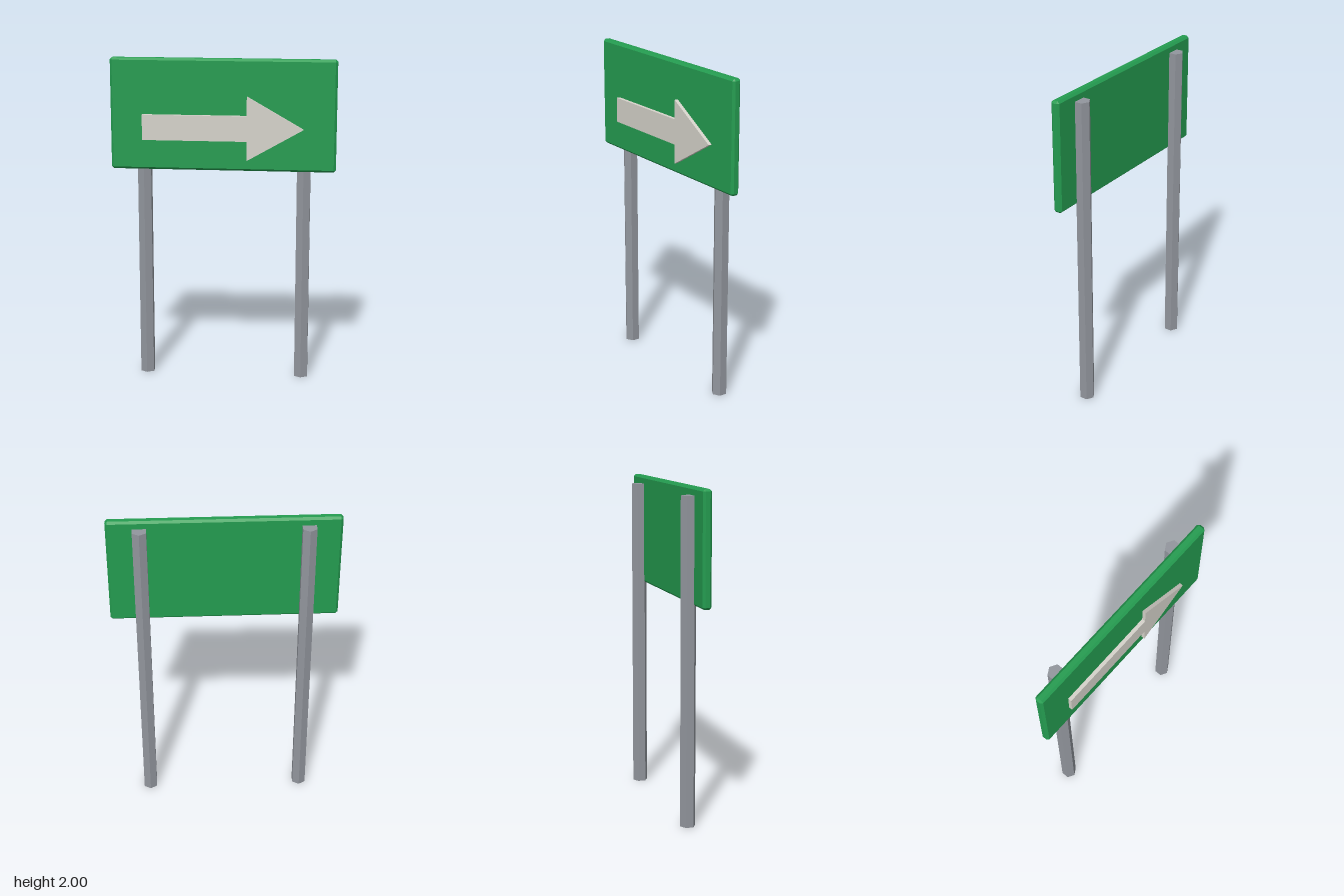
import * as THREE from 'three';
import { ConvexGeometry } from 'three/addons/geometries/ConvexGeometry.js';

// Box with every edge and corner chamfered by c
function chamferedBox(w, h, d, c) {
  const points = [];
  for (const x of [-w / 2, w / 2])
    for (const y of [-h / 2, h / 2])
      for (const z of [-d / 2, d / 2]) {
        const ix = x - Math.sign(x) * c, iy = y - Math.sign(y) * c, iz = z - Math.sign(z) * c;
        points.push(
          new THREE.Vector3(x, iy, iz),
          new THREE.Vector3(ix, y, iz),
          new THREE.Vector3(ix, iy, z));
      }
  return new ConvexGeometry(points);
}

export function createModel() {
  const model = new THREE.Group();
  model.name = 'directionSign';

  const material = (name, color) => {
    const m = new THREE.MeshStandardMaterial({ color });
    m.name = name;
    return m;
  };
  const green = material('signGreen', 0x249c50);
  const white = material('arrowWhite', 0xd5d2ca);
  const steel = material('postGrey', 0x92969d);
  steel.flatShading = true;

  const add = (name, geometry, mat, x, y, z) => {
    const mesh = new THREE.Mesh(geometry, mat);
    mesh.name = name;
    mesh.position.set(x, y, z);
    model.add(mesh);
  };

  // Hexagonal posts, with an edge facing front and back
  const postHeight = 1.953;
  const postGeometry = new THREE.CylinderGeometry(0.047, 0.047, postHeight, 6);
  add('leftPost', postGeometry, steel, 0.486, postHeight / 2, -0.025);
  add('rightPost', postGeometry, steel, -0.486, postHeight / 2, -0.025);

  // Chamfered board
  add('board', chamferedBox(1.36, 0.676, 0.054, 0.013), green, 0, 1.662, 0.023);

  // Raised arrow, drawn around its centre line
  const arrow = new THREE.Shape([
    [-0.487, -0.077], [0.145, -0.077], [0.145, -0.194], [0.484, 0],
    [0.145, 0.194], [0.145, 0.077], [-0.487, 0.077],
  ].map(([x, y]) => new THREE.Vector2(x, y)));
  const arrowGeometry = new THREE.ExtrudeGeometry(arrow, { depth: 0.026, bevelEnabled: false });
  add('arrow', arrowGeometry, white, 0, 1.585, 0.046);

  return model;
}
